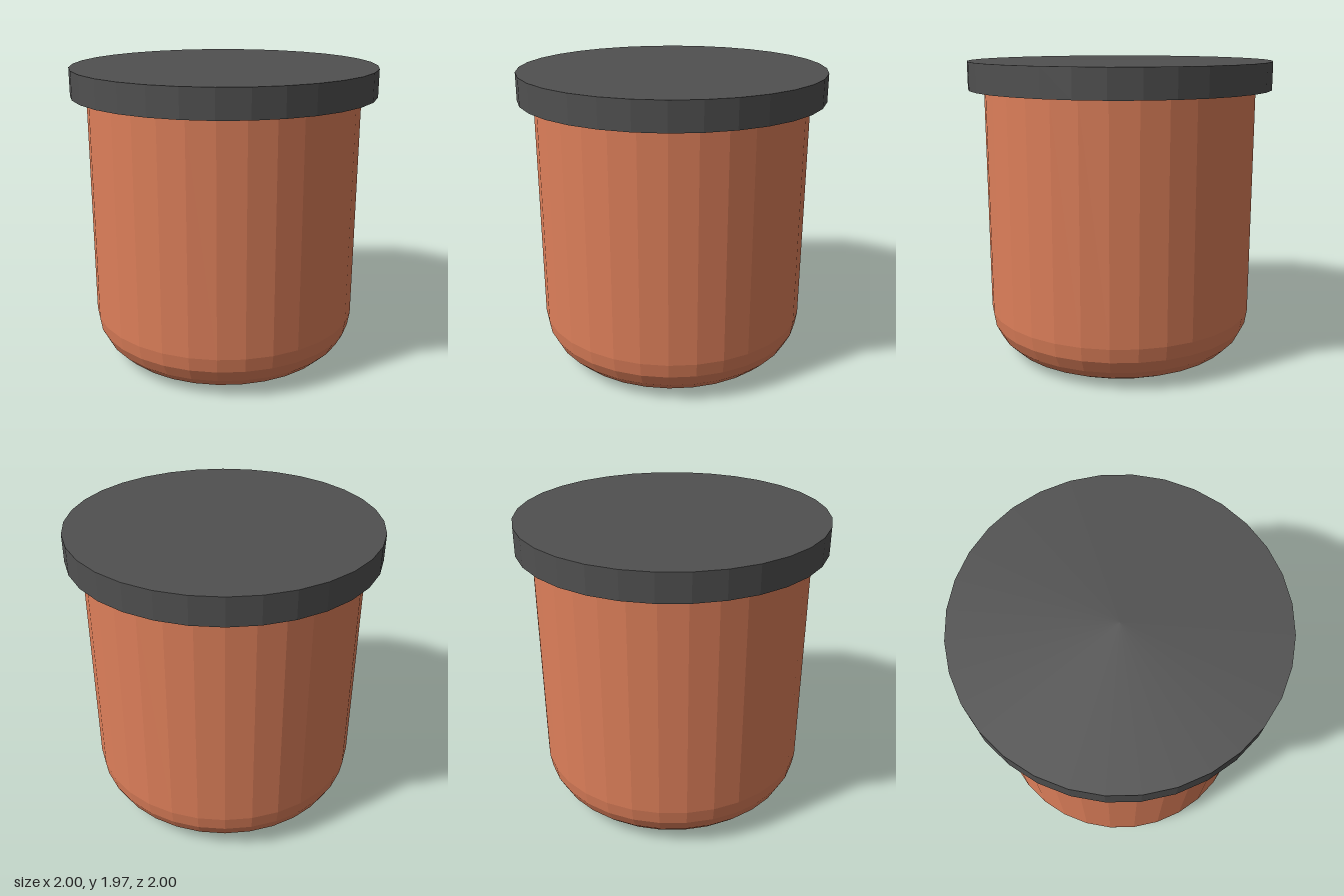
import * as THREE from 'three';

const SIDES = 32;

export function createModel() {
  const terracotta = new THREE.MeshStandardMaterial({ color: 0xdd7f5a, flatShading: true });
  const charcoal = new THREE.MeshStandardMaterial({ color: 0x505050, flatShading: true });
  terracotta.name = 'terracotta';
  charcoal.name = 'charcoal';

  const group = new THREE.Group();
  group.name = 'liddedPot';

  // Turns a [radius, height] profile, listed from bottom to top
  const turn = (name, profile, material) => {
    const points = profile.map(([r, y]) => new THREE.Vector2(r, y));
    const mesh = new THREE.Mesh(new THREE.LatheGeometry(points, SIDES), material);
    mesh.name = name;
    group.add(mesh);
  };

  // Rounded lower edge: a quarter arc in five steps
  const bodyRadius = 0.897, bevel = 0.3, steps = 5;
  const arc = [];
  for (let i = 0; i <= steps; i++) {
    const a = (i / steps) * Math.PI / 2;
    arc.push([bodyRadius - bevel + bevel * Math.sin(a), bevel - bevel * Math.cos(a)]);
  }

  // Pot body with the underside of its rim
  turn('potBody', [[0, 0], ...arc, [bodyRadius, 1.79], [1, 1.79]], terracotta);

  // Lid: outer band and flat top
  turn('lid', [[1, 1.79], [1, 1.97], [0, 1.97]], charcoal);

  return group;
}
